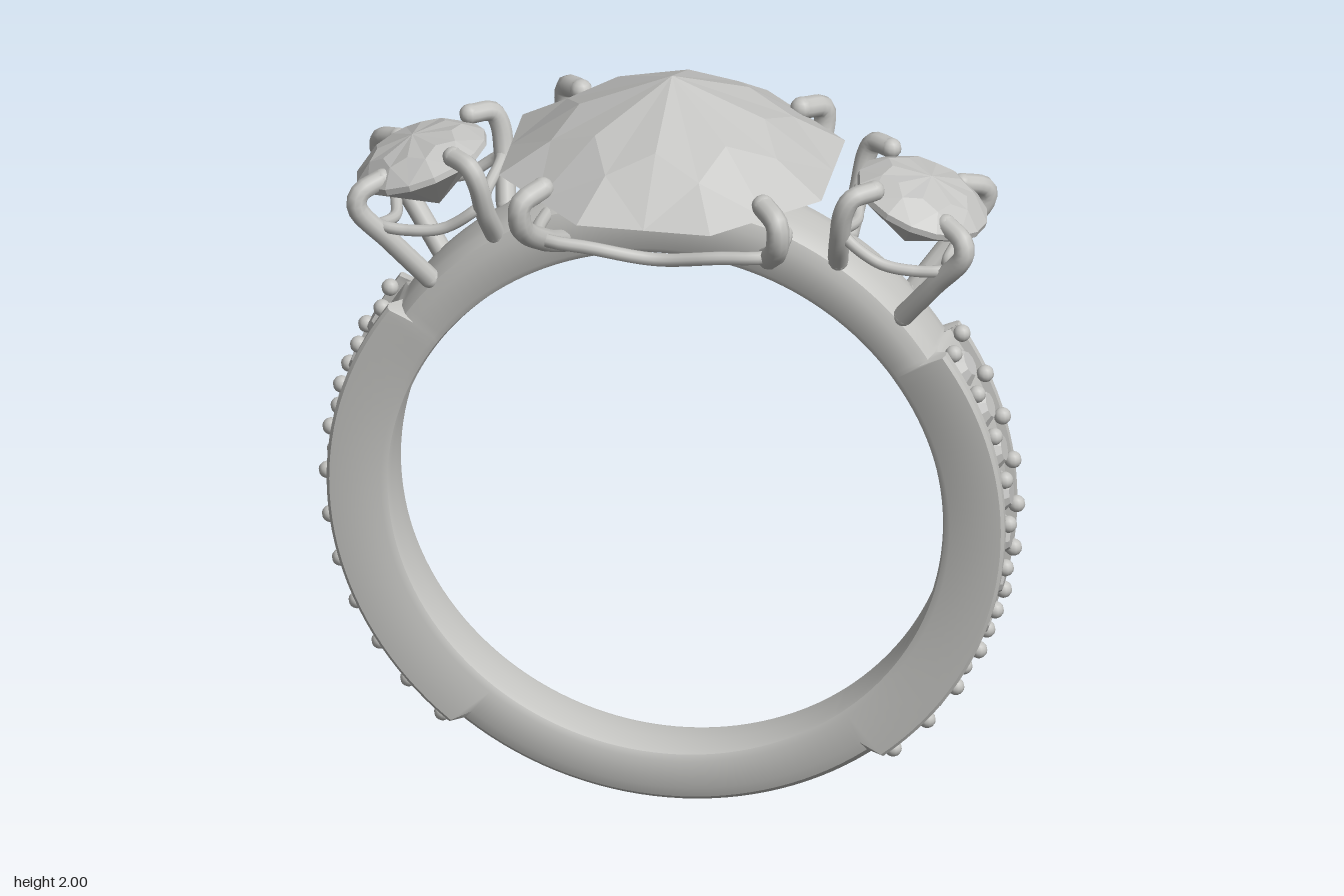
import * as THREE from 'three';
import { toCreasedNormals } from 'three/addons/utils/BufferGeometryUtils.js';

const CY = 0.845; // height of the ring's centre
const RAD = Math.PI / 180;
const metal = new THREE.MeshStandardMaterial({ color: 0xc4c4c1 });
metal.name = 'silver';
const stone = new THREE.MeshStandardMaterial({ color: 0xc4c4c2 });
stone.name = 'pale stone';

function add(parent, name, geometry, material) {
  const mesh = new THREE.Mesh(geometry, material);
  mesh.name = name;
  parent.add(mesh);
  return mesh;
}

function flat(geometry) {
  const g = geometry.index ? geometry.toNonIndexed() : geometry;
  g.computeVertexNormals();
  return g;
}

// Half cross-section of the band at an elevation: [radius, z], inside to outside
function bandProfile(elev, y) {
  const w = elev > 35 ? 0.106 : 0.085 + 0.022 * Math.min(1, y / 1.3);
  const paved = elev > -51 && elev < 35;
  const crown = elev > 0 ? 0.835 + 0.025 * Math.min(1, (elev - 35) / 35) : 0.845;
  const outer = paved
    ? [[0.852, w], [0.86, 0.93 * w], [0.86, 0.72 * w], [0.838, 0.68 * w], [0.838, 0]]
    : [[crown - 0.05, w], [crown - 0.022, 0.9 * w], [crown - 0.006, 0.65 * w], [crown - 0.002, 0.35 * w], [crown, 0]];
  return [[0.70, 0], [0.70, 0.7 * w], [0.706, 0.9 * w], [0.722, w], ...outer];
}

function bandGeometry() {
  const angles = [];
  for (let a = 0; a < 360; a += 2.5) angles.push(a);
  // Steps at both ends of each stone channel
  for (const e of [34.2, 35.8, -51.8, -50.2]) angles.push((e + 360) % 360, 180 - e);
  angles.sort((a, b) => a - b);
  const pos = [], idx = [];
  let m = 0;
  for (const a of angles) {
    const c = Math.cos(a * RAD), s = Math.sin(a * RAD);
    const half = bandProfile(Math.asin(s) / RAD, CY + 0.85 * s);
    const back = half.slice(1, -1).reverse().map(([r, z]) => [r, -z]);
    const loop = [...half, ...back];
    m = loop.length;
    for (const [r, z] of loop) pos.push(r * c, CY + r * s, z);
  }
  const n = angles.length;
  for (let i = 0; i < n; i++) for (let j = 0; j < m; j++) {
    const i2 = (i + 1) % n, j2 = (j + 1) % m;
    const a = i * m + j, b = i * m + j2, c = i2 * m + j, d = i2 * m + j2;
    idx.push(a, b, c, b, d, c);
  }
  const g = new THREE.BufferGeometry();
  g.setAttribute('position', new THREE.Float32BufferAttribute(pos, 3));
  g.setIndex(idx);
  return toCreasedNormals(g, 0.6);
}

// Faceted gem from rings of 16 points, bottom to top: [r, y] at corners, [r, y] between
function gemGeometry(rings) {
  const pos = [], idx = [];
  for (const [r0, y0, r1, y1] of rings) {
    for (let i = 0; i < 16; i++) {
      const a = (i + 1) * 22.5 * RAD, odd = i % 2;
      const r = odd ? r1 : r0;
      pos.push(r * Math.cos(a), odd ? y1 : y0, -r * Math.sin(a));
    }
  }
  for (let k = 0; k < rings.length - 1; k++) for (let i = 0; i < 16; i++) {
    const a = k * 16 + i, b = k * 16 + (i + 1) % 16, c = a + 16, d = b + 16;
    if (i % 2) idx.push(a, b, d, a, d, c);
    else idx.push(a, b, c, b, d, c);
  }
  const g = new THREE.BufferGeometry();
  g.setAttribute('position', new THREE.Float32BufferAttribute(pos, 3));
  g.setIndex(idx);
  return flat(g);
}

// Round wire through points, with ball ends unless it is closed
function wire(parent, name, points, radius, closed = false) {
  const pts = points.map((p) => new THREE.Vector3(...p));
  const curve = new THREE.CatmullRomCurve3(pts, closed);
  add(parent, name, new THREE.TubeGeometry(curve, closed ? 72 : 24, radius, 10, closed), metal);
  if (closed) return;
  for (const p of [pts[0], pts[pts.length - 1]]) {
    add(parent, name + 'End', new THREE.SphereGeometry(radius, 12, 8), metal).position.copy(p);
  }
}

function centreHead() {
  const g = new THREE.Group();
  g.name = 'centreHead';
  const c = Math.cos(22.5 * RAD), R = 0.443;
  add(g, 'centreStone', gemGeometry([
    [0, 1.77, 0, 1.77],
    [R, 1.77, R * c, 1.77],
    [0.31, 1.852, 0.235, 1.9],
    [0, 2, 0, 2],
  ]), stone);
  for (const sx of [-1, 1]) for (const sz of [-1, 1]) {
    const path = [[0.26, 1.56, 0.09], [0.285, 1.62, 0.21], [0.325, 1.71, 0.325], [0.325, 1.775, 0.33], [0.28, 1.797, 0.275]];
    wire(g, 'centreProng', path.map(([x, y, z]) => [sx * x, y, sz * z]), 0.029);
  }
  // Wavy gallery wire joining the prongs
  wire(g, 'centreRail', [
    [0.29, 1.64, 0.24], [0.16, 1.63, 0.255], [0, 1.6, 0.23], [-0.16, 1.63, 0.255],
    [-0.29, 1.64, 0.24], [-0.3, 1.62, 0], [-0.29, 1.64, -0.24], [-0.16, 1.63, -0.255],
    [0, 1.6, -0.23], [0.16, 1.63, -0.255], [0.29, 1.64, -0.24], [0.3, 1.62, 0],
  ], 0.017, true);
  return g;
}

function sideHead(s) {
  const g = new THREE.Group();
  g.name = s > 0 ? 'leftHead' : 'rightHead';
  const gem = add(g, 'sideStone', gemGeometry([
    [0, -0.13, 0, -0.13],
    [0.172, -0.008, 0.172, -0.008],
    [0.172, 0.008, 0.172, 0.008],
    [0.125, 0.045, 0.1, 0.055],
    [0, 0.07, 0, 0.07],
  ]), stone);
  gem.position.set(s * 0.635, 1.712, 0);
  gem.rotation.z = -s * 20 * RAD;
  const outer = [[0.6, 1.42, 0.08], [0.69, 1.54, 0.13], [0.77, 1.645, 0.165], [0.765, 1.68, 0.155], [0.715, 1.705, 0.115]];
  const inner = [[0.435, 1.56, 0.08], [0.45, 1.65, 0.14], [0.465, 1.74, 0.165], [0.485, 1.777, 0.16], [0.535, 1.785, 0.12]];
  for (const sz of [-1, 1]) for (const path of [outer, inner]) {
    wire(g, 'sideProng', path.map(([x, y, z]) => [s * x, y, sz * z]), 0.026);
  }
  // Wavy gallery wire under the side stone
  wire(g, 'sideRail', [
    [0.715, 1.585, 0.135], [0.64, 1.585, 0.15], [0.55, 1.6, 0.15], [0.46, 1.665, 0.14], [0.47, 1.64, 0],
    [0.46, 1.665, -0.14], [0.55, 1.6, -0.15], [0.64, 1.585, -0.15], [0.715, 1.585, -0.135], [0.7, 1.55, 0],
  ].map(([x, y, z]) => [s * x, y, z]), 0.015, true);
  return g;
}

// Row of small stones with bead pairs between them
function paveRow(s) {
  const g = new THREE.Group();
  g.name = s > 0 ? 'leftPave' : 'rightPave';
  const cut = flat(new THREE.CylinderGeometry(0.032, 0.053, 0.024, 10));
  const bead = new THREE.SphereGeometry(0.022, 12, 8);
  const step = 8.15;
  for (let i = 0; i < 11; i++) {
    const b = (32.9 - i * step) * RAD;
    for (const z of [-0.058, 0.058]) {
      add(g, 'bead', bead, metal).position.set(s * 0.864 * Math.cos(b), CY + 0.864 * Math.sin(b), z);
    }
    if (i === 10) break;
    const a = b - (step / 2) * RAD;
    const small = add(g, 'smallStone', cut, stone);
    small.position.set(s * 0.852 * Math.cos(a), CY + 0.852 * Math.sin(a), 0);
    small.rotation.z = s * (a - Math.PI / 2);
  }
  return g;
}

export function createModel() {
  const ring = new THREE.Group();
  ring.name = 'ring';
  add(ring, 'band', bandGeometry(), metal);
  ring.add(centreHead());
  for (const s of [-1, 1]) ring.add(sideHead(s), paveRow(s));
  return ring;
}
